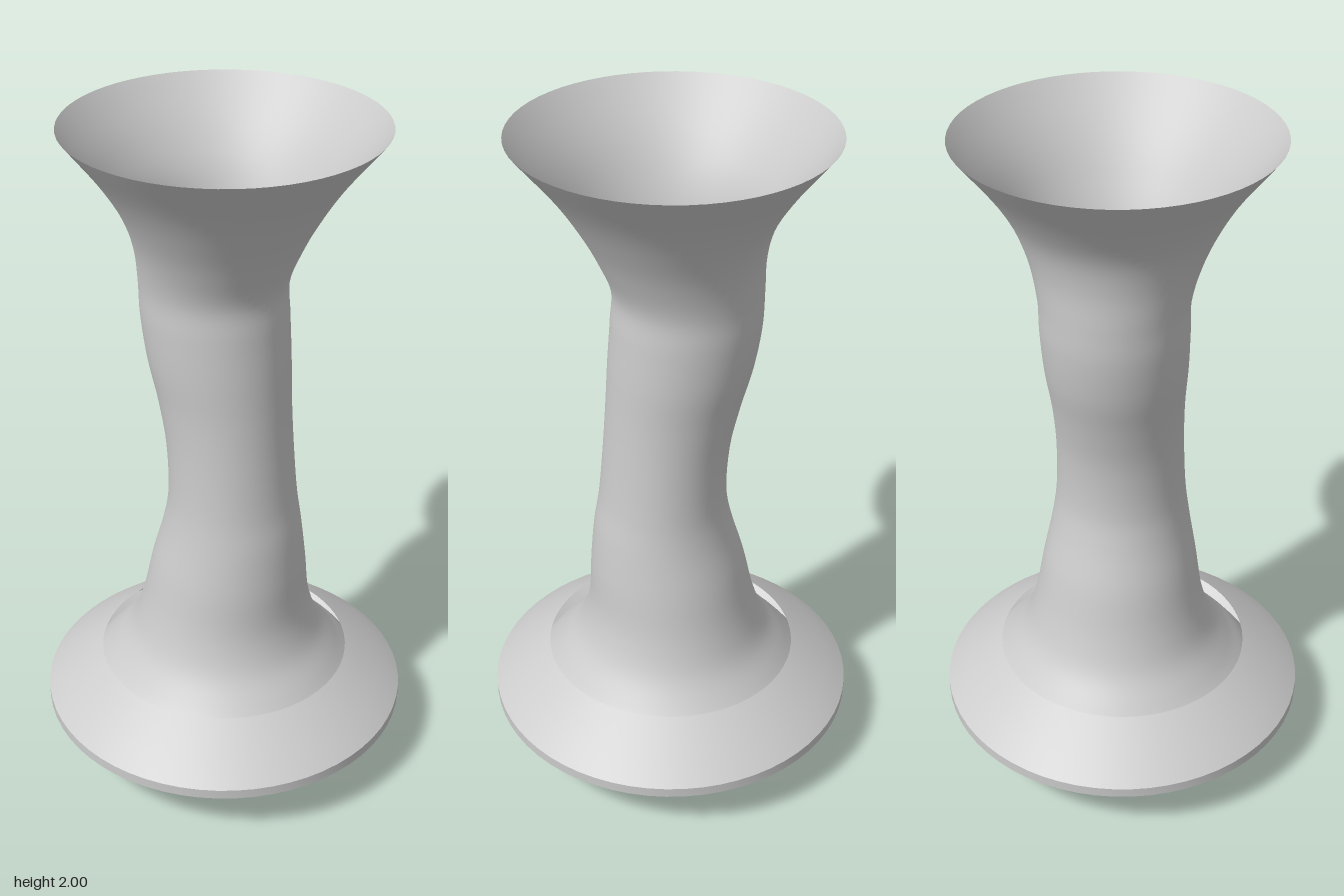
import * as THREE from 'three';
import { toCreasedNormals } from 'three/addons/utils/BufferGeometryUtils.js';

const material = new THREE.MeshStandardMaterial({ color: 0xcccccc, side: THREE.DoubleSide });

// Flared open tube: cross-sections as [y, xMin, xMax, z half-width]
const SECTIONS = [
  [0.2, -0.45, 0.44, 0.445], [0.26, -0.405, 0.395, 0.4], [0.32, -0.355, 0.345, 0.345],
  [0.4, -0.293, 0.285, 0.29], [0.5, -0.255, 0.252, 0.257], [0.65, -0.22, 0.242, 0.23],
  [0.78, -0.182, 0.23, 0.205], [0.88, -0.163, 0.214, 0.192], [1.05, -0.17, 0.198, 0.186],
  [1.19, -0.2, 0.188, 0.19], [1.32, -0.235, 0.18, 0.202], [1.45, -0.255, 0.17, 0.208],
  [1.55, -0.258, 0.165, 0.21], [1.66, -0.26, 0.207, 0.237], [1.76, -0.282, 0.26, 0.28],
  [1.86, -0.34, 0.325, 0.338], [2, -0.45, 0.437, 0.444],
];

function tubeGeometry(rings = 80, sides = 64) {
  const left = new THREE.CatmullRomCurve3(SECTIONS.map(([y, x0, x1, r]) => new THREE.Vector3(x0, y, r)));
  const right = new THREE.CatmullRomCurve3(SECTIONS.map(([y, x0, x1, r]) => new THREE.Vector3(x1, y, r)));
  // A unit cylinder whose vertices are moved onto the elliptical sections
  const geometry = new THREE.CylinderGeometry(1, 1, 1, sides, rings, true);
  const pos = geometry.attributes.position;
  for (let i = 0; i < pos.count; i++) {
    const t = THREE.MathUtils.clamp(pos.getY(i) + 0.5, 0, 1);
    const a = left.getPoint(t), b = right.getPoint(t);
    pos.setXYZ(i,
      (a.x + b.x) / 2 + pos.getX(i) * (b.x - a.x) / 2,
      a.y,
      pos.getZ(i) * a.z - 0.01);
  }
  geometry.computeVertexNormals();
  // Blend normals across the seam
  const n = geometry.attributes.normal;
  for (let j = 0; j <= rings; j++) {
    const p = j * (sides + 1), q = p + sides;
    const v = new THREE.Vector3().fromBufferAttribute(n, p)
      .add(new THREE.Vector3().fromBufferAttribute(n, q)).normalize();
    n.setXYZ(p, v.x, v.y, v.z);
    n.setXYZ(q, v.x, v.y, v.z);
  }
  return geometry;
}

// Hollow base shell, open at the top and bottom
function baseGeometry() {
  const profile = [[0.36, 0], [0.505, 0.125], [0.55, 0.165], [0.55, 0.195], [0.49, 0.245], [0.378, 0.32]];
  const lathe = new THREE.LatheGeometry(profile.map(([r, y]) => new THREE.Vector2(r, y)), 64);
  return toCreasedNormals(lathe, THREE.MathUtils.degToRad(28));
}

export function createModel() {
  const group = new THREE.Group();
  group.name = 'flaredStand';
  const add = (name, geometry) => {
    const mesh = new THREE.Mesh(geometry, material);
    mesh.name = name;
    group.add(mesh);
  };
  add('flaredTube', tubeGeometry());
  add('baseShell', baseGeometry());
  return group;
}
